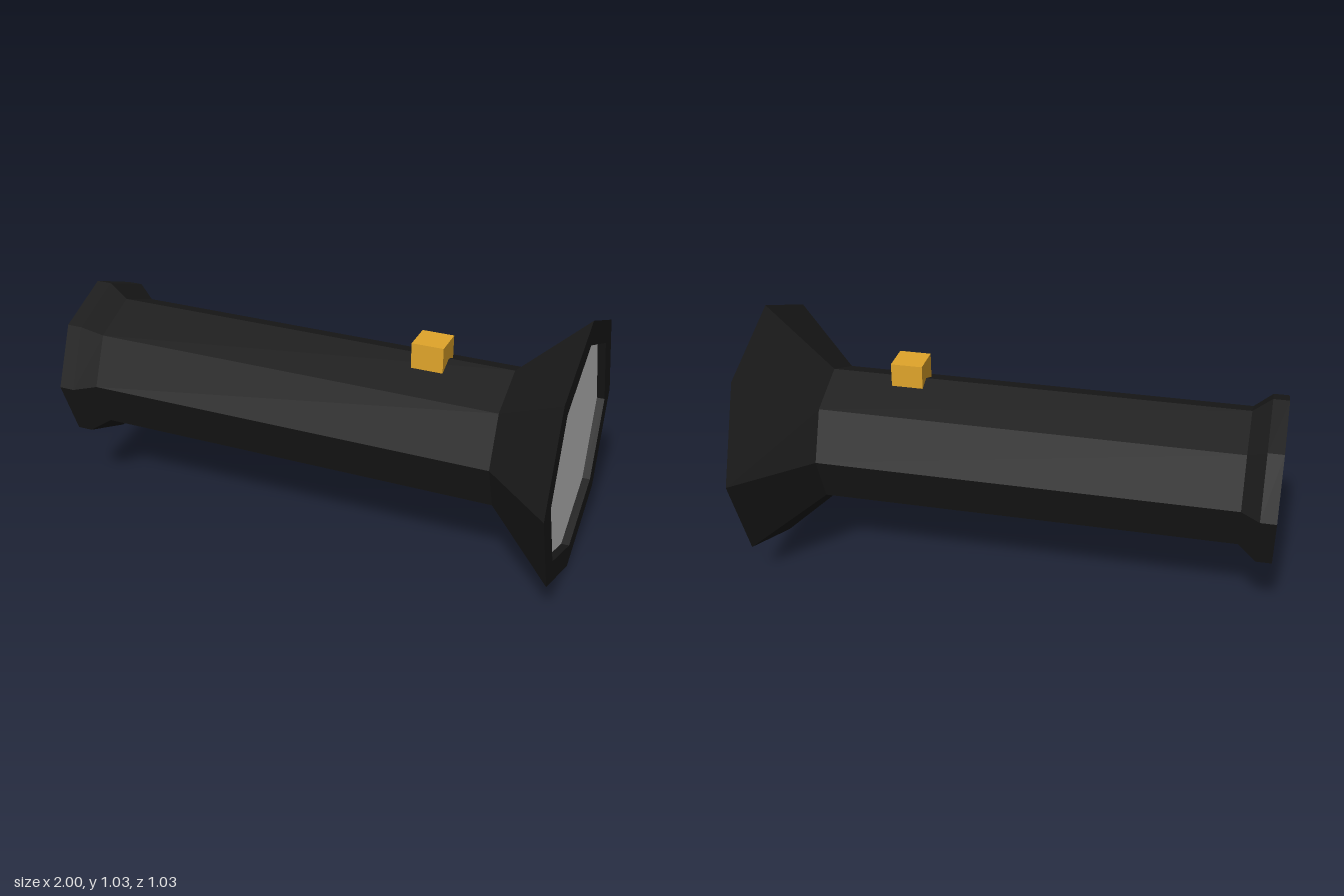
import * as THREE from 'three';

const AXIS_Y = 0.515;

// Eight-sided turned part lying along the x axis; profile is [radius, x] pairs
function turned(name, profile, color) {
  const geometry = new THREE.LatheGeometry(profile.map(([r, x]) => new THREE.Vector2(r, x)), 8);
  geometry.rotateZ(-Math.PI / 2);
  const mesh = new THREE.Mesh(geometry, new THREE.MeshStandardMaterial({ color, flatShading: true }));
  mesh.name = name;
  mesh.position.y = AXIS_Y;
  return mesh;
}

export function createModel() {
  const group = new THREE.Group();
  group.name = 'flashlight';

  // Recessed tail cap, straight barrel and flared head with an inner lip
  group.add(turned('body', [
    [0, -0.94], [0.265, -0.94], [0.265, -1], [0.327, -1], [0.327, -0.94],
    [0.27, -0.87], [0.27, 0.74], [0.514, 1], [0.42, 1], [0.42, 0.97],
  ], 0x1a1a1a));

  // Flat lens set just inside the head
  group.add(turned('lens', [[0.42, 0.97], [0, 0.97]], 0xcccccc));

  // Switch on top of the barrel
  const button = new THREE.Mesh(
    new THREE.BoxGeometry(0.122, 0.1, 0.122),
    new THREE.MeshStandardMaterial({ color: 0xe0a52a, flatShading: true })
  );
  button.name = 'switchButton';
  button.position.set(0.43, 0.805, 0.01);
  group.add(button);

  return group;
}
